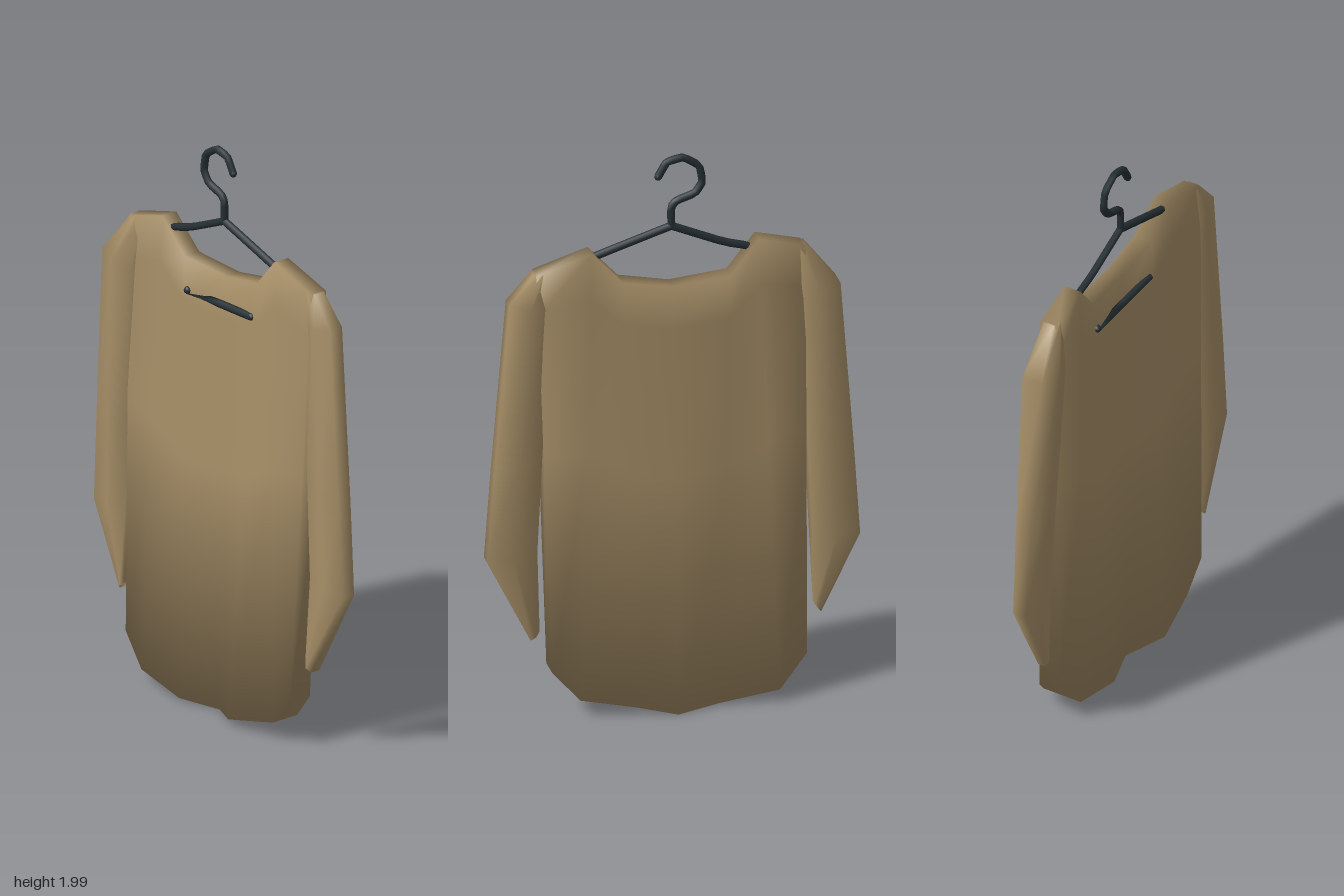
import * as THREE from 'three';

const cloth = new THREE.MeshStandardMaterial({ color: 0xa89068 });
cloth.name = 'tan cloth';
const metal = new THREE.MeshStandardMaterial({ color: 0x263034 });
metal.name = 'dark metal';

// Closed surface through rows of points, bottom to top.
// Each row runs along the front left to right, then along the back right to left.
function loft(rows) {
  const n = rows[0].length, m = n / 2, index = [];
  const quad = (a, b, c, d) => index.push(a, b, c, a, c, d);
  for (let r = 0; r < rows.length - 1; r++) {
    for (let i = 0; i < n; i++) {
      const j = (i + 1) % n, lo = r * n, hi = lo + n;
      quad(lo + i, lo + j, hi + j, hi + i);
    }
  }
  const top = (rows.length - 1) * n;
  for (let i = 0; i < m - 1; i++) {
    const p = n - 2 - i, q = n - 1 - i;
    quad(top + i, top + i + 1, top + p, top + q);
    quad(q, p, i + 1, i);
  }
  const geo = new THREE.BufferGeometry();
  geo.setAttribute('position', new THREE.Float32BufferAttribute(rows.flat(2), 3));
  geo.setIndex(index);
  geo.computeVertexNormals();
  return geo;
}

// Row from columns of [x, y, front z, back z]
const ring = (cols) => [
  ...cols.map(([x, y, f]) => [x, y, f]),
  ...cols.map(([x, y, , b]) => [x, y, b]).reverse(),
];

function add(group, name, geo, material) {
  const mesh = new THREE.Mesh(geo, material);
  mesh.name = name;
  group.add(mesh);
  return mesh;
}

function makeBody(group) {
  const hem = [
    [-0.455, 0.15, 0.045, -0.03], [-0.35, 0.05, 0.065, -0.08], [-0.15, 0.012, 0.07, -0.055],
    [0, 0.005, 0.02, -0.095], [0.13, 0.03, 0.092, -0.06], [0.32, 0.07, 0.06, -0.045],
    [0.41, 0.17, 0.06, -0.025],
  ];
  const neck = [
    [-0.45, 1.63, 0.035, -0.03], [-0.29, 1.675, 0.025, -0.035], [-0.19, 1.56, 0.012, -0.05],
    [0.01, 1.548, 0.0, -0.058], [0.18, 1.58, 0.01, -0.058], [0.28, 1.688, 0.02, -0.04],
    [0.47, 1.63, 0.018, -0.045],
  ];
  const rows = [0, 0.55, 0.9, 1].map((t) =>
    ring(hem.map((h, i) => h.map((v, k) => THREE.MathUtils.lerp(v, neck[i][k], t)))));
  const geo = loft(rows);
  // Hem rolls softly underneath
  const normal = geo.attributes.normal, v = new THREE.Vector3();
  for (let i = 0; i < rows[0].length; i++) {
    v.fromBufferAttribute(normal, i);
    v.y -= 1.1;
    v.normalize();
    normal.setXYZ(i, v.x, v.y, v.z);
  }
  add(group, 'shirtBody', geo, cloth);
}

// Sleeve rows: left x, y, right x, y, front z, back z
function makeSleeve(group, name, sections) {
  const rows = sections.map(([xa, ya, xb, yb, f, b]) => {
    const mid = (f + b) / 2, half = (f - b) / 2;
    return ring([[0, 0.6], [0.5, 1], [1, 0.6]].map(([t, w]) => [
      xa + (xb - xa) * t, ya + (yb - ya) * t, mid + half * w, mid - half * w,
    ]));
  });
  add(group, name, loft(rows), cloth);
}

function wire(group, name, points, steps) {
  const curve = new THREE.CatmullRomCurve3(
    points.map(([x, y, z = 0]) => new THREE.Vector3(x, y, z)), false, 'catmullrom', 0.15);
  add(group, name, new THREE.TubeGeometry(curve, steps, 0.0135, 6), metal);
  // Closed ends
  for (const t of [0, 1]) {
    add(group, name + 'End', new THREE.SphereGeometry(0.0135, 6, 4), metal)
      .position.copy(curve.getPoint(t));
  }
}

export function createModel() {
  const model = new THREE.Group();
  model.name = 'shirtOnHanger';

  const shirt = new THREE.Group();
  shirt.name = 'shirt';
  makeBody(shirt);
  makeSleeve(shirt, 'rightSleeve', [
    [-0.51, 0.28, -0.488, 0.31, 0.035, -0.01],
    [-0.638, 0.56, -0.475, 0.58, 0.045, -0.035],
    [-0.615, 0.9, -0.462, 0.88, 0.055, -0.04],
    [-0.57, 1.48, -0.42, 1.45, 0.075, -0.05],
    [-0.455, 1.632, -0.4, 1.63, 0.035, -0.03],
  ]);
  makeSleeve(shirt, 'leftSleeve', [
    [0.45, 0.32, 0.48, 0.29, 0.04, -0.02],
    [0.463, 0.62, 0.633, 0.6, 0.035, -0.045],
    [0.448, 0.95, 0.61, 0.92, 0.035, -0.05],
    [0.42, 1.5, 0.56, 1.53, 0.03, -0.055],
    [0.42, 1.635, 0.475, 1.63, 0.02, -0.045],
  ]);
  model.add(shirt);

  const hanger = new THREE.Group();
  hanger.name = 'hanger';
  wire(hanger, 'hook', [
    [0, 1.74], [0, 1.81], [-0.018, 1.832], [-0.08, 1.852], [-0.105, 1.89], [-0.095, 1.95],
    [-0.04, 1.986], [0.015, 1.975], [0.045, 1.925],
  ], 24);
  wire(hanger, 'rightArm', [[0, 1.742], [-0.18, 1.663], [-0.27, 1.637], [-0.4, 1.57]], 10);
  wire(hanger, 'leftArm', [[0, 1.742], [0.27, 1.657], [0.4, 1.59]], 8);
  // Crossbar showing through the chest
  wire(hanger, 'crossbar', [[-0.17, 1.447, 0.017], [0.155, 1.453, 0.014]], 2);
  model.add(hanger);
  return model;
}
